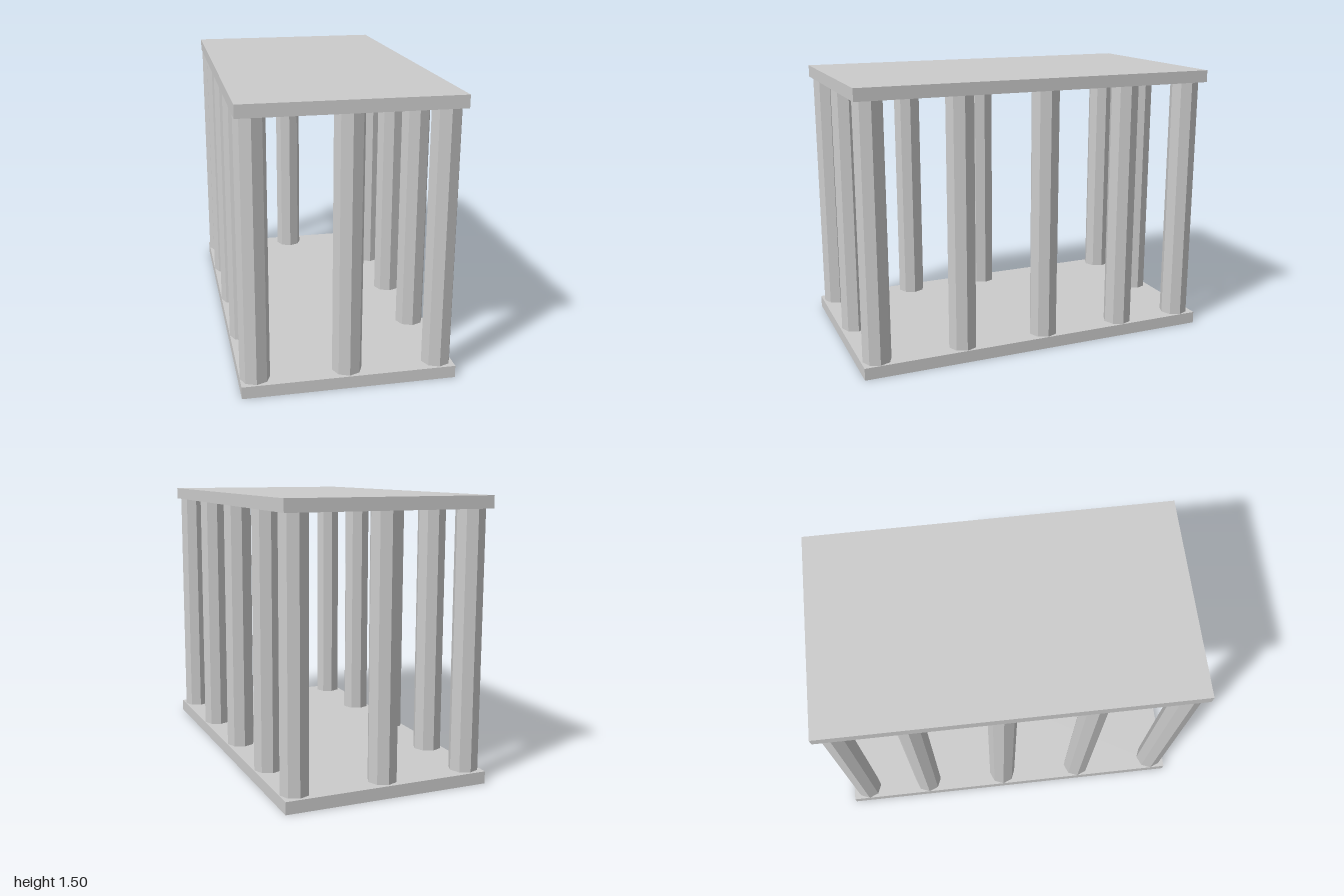
import * as THREE from 'three';

const WIDTH = 1.12, DEPTH = 2, HEIGHT = 1.505, SLAB = 0.066;
const COLUMN_RADIUS = 0.078;

export function createModel() {
  const model = new THREE.Group();
  model.name = 'columnedPavilion';
  const material = new THREE.MeshStandardMaterial({ color: 0xcccccc, flatShading: true });

  // Floor and roof slabs
  const slabGeometry = new THREE.BoxGeometry(WIDTH, SLAB, DEPTH);
  const addSlab = (name, y) => {
    const slab = new THREE.Mesh(slabGeometry, material);
    slab.name = name;
    slab.position.y = y;
    model.add(slab);
  };
  addSlab('floorSlab', SLAB / 2);
  addSlab('roofSlab', HEIGHT - SLAB / 2);

  // Octagonal columns spanning the gap between the slabs
  const columnGeometry = new THREE.CylinderGeometry(
    COLUMN_RADIUS, COLUMN_RADIUS, HEIGHT - 2 * SLAB, 8);
  const columns = new THREE.Group();
  columns.name = 'columns';
  model.add(columns);
  const addColumn = (name, x, z) => {
    const column = new THREE.Mesh(columnGeometry, material);
    column.name = name;
    column.position.set(x, HEIGHT / 2, z);
    columns.add(column);
  };

  // Five columns along each long side, one in the middle of each end
  const rowZ = [0.913, 0.435, -0.045, -0.522, -0.907];
  rowZ.forEach((z, i) => {
    addColumn(`leftColumn${i + 1}`, 0.478, z);
    addColumn(`rightColumn${i + 1}`, -0.482, z);
  });
  addColumn('frontMiddleColumn', -0.002, rowZ[0]);
  addColumn('backMiddleColumn', -0.002, rowZ[4]);

  return model;
}
